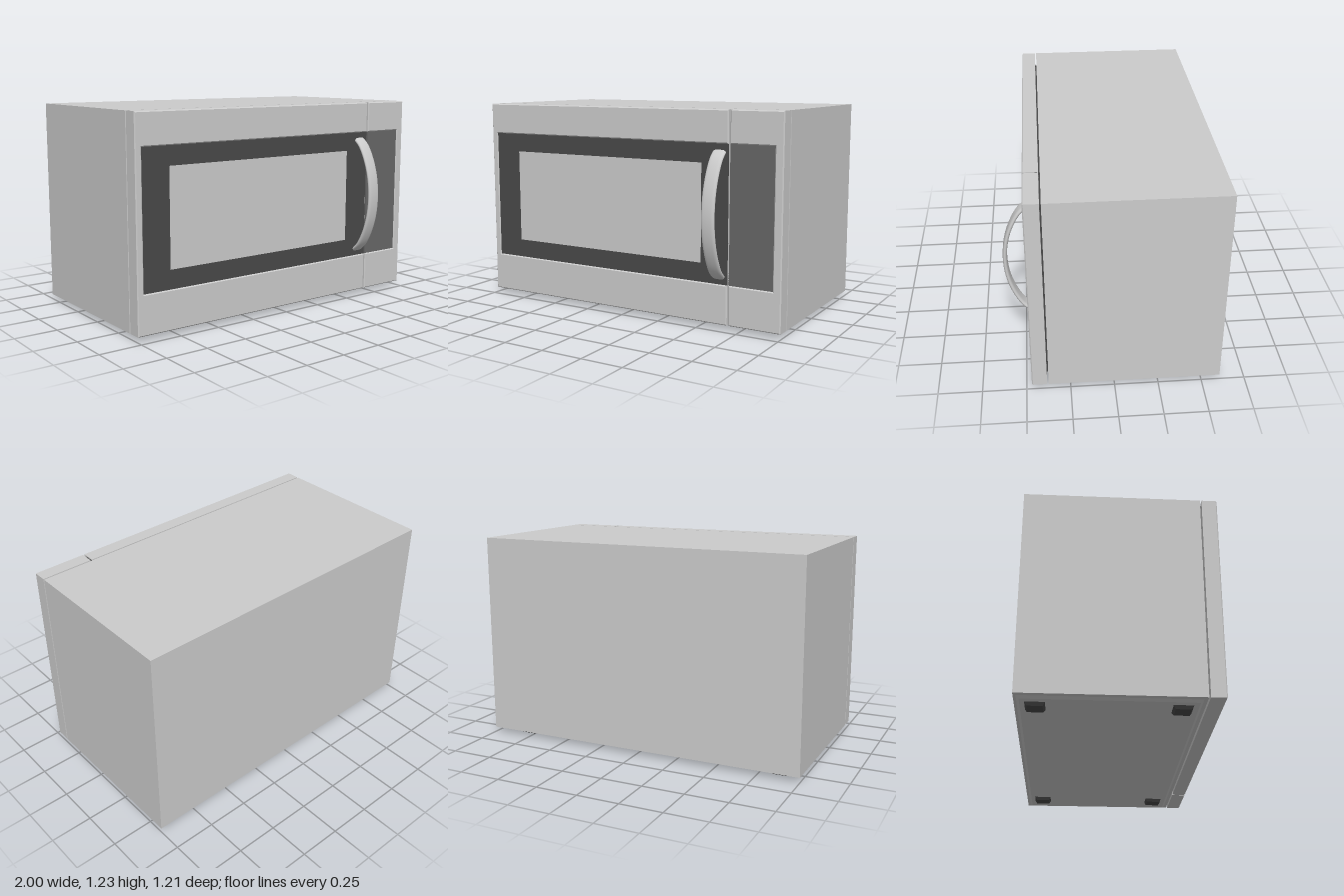
import * as THREE from 'three';

const grey = new THREE.MeshStandardMaterial({ color: 0xcccccc });
const dark = new THREE.MeshStandardMaterial({ color: 0x494949 });
const smoky = new THREE.MeshStandardMaterial({ color: 0x676767 });

const BOTTOM = 0.03, TOP = 1.23;       // cabinet height range
const PANE_LOW = 0.26, PANE_HIGH = 1.045; // glass band height range
const GLASS_Z = 0.464, FRONT_Z = 0.47;

export function createModel() {
  const group = new THREE.Group();

  function add(name, geometry, material) {
    const mesh = new THREE.Mesh(geometry, material);
    mesh.name = name;
    group.add(mesh);
    return mesh;
  }

  // Box given by its limits on each axis
  function box(name, [x0, x1], [y0, y1], [z0, z1], material = grey) {
    const geometry = new THREE.BoxGeometry(x1 - x0, y1 - y0, z1 - z0);
    geometry.translate((x0 + x1) / 2, (y0 + y1) / 2, (z0 + z1) / 2);
    return add(name, geometry, material);
  }

  // Box whose lower face is drawn in by an inset
  function taperedBox(name, [x0, x1], [y0, y1], [z0, z1], inset, material) {
    const w = x1 - x0, h = y1 - y0, d = z1 - z0;
    let geometry = new THREE.BoxGeometry(w, h, d);
    const p = geometry.attributes.position;
    for (let i = 0; i < p.count; i++) {
      if (p.getY(i) < 0) {
        p.setX(i, p.getX(i) - Math.sign(p.getX(i)) * inset);
        p.setZ(i, p.getZ(i) - Math.sign(p.getZ(i)) * inset);
      }
    }
    geometry.computeVertexNormals();
    geometry.translate((x0 + x1) / 2, (y0 + y1) / 2, (z0 + z1) / 2);
    return add(name, geometry, material);
  }

  function polygon(points) {
    return new THREE.Shape(points.map(([x, y]) => new THREE.Vector2(x, y)));
  }

  // Chamfered C-shaped facing: open towards the seam, closed at the outer side
  function facing(name, seam, outer, paneEdge) {
    const shape = polygon([
      [seam, BOTTOM], [outer, BOTTOM], [outer, TOP], [seam, TOP],
      [seam, PANE_HIGH], [paneEdge, PANE_HIGH], [paneEdge, PANE_LOW], [seam, PANE_LOW],
    ]);
    const bevel = 0.006;
    const geometry = new THREE.ExtrudeGeometry(shape, {
      depth: 0.018, bevelEnabled: true, bevelSegments: 1,
      bevelSize: bevel, bevelThickness: bevel, bevelOffset: -bevel,
    });
    geometry.translate(0, 0, FRONT_Z - 0.018 - bevel);
    add(name, geometry, grey);
  }

  // Cabinet and the recessed core joining it to the front
  box('cabinet', [-1, 1], [BOTTOM, TOP], [-0.605, 0.375]);
  box('frontJoint', [-0.9, 0.95], [0.08, 1.18], [0.37, 0.39], dark);

  // Door and control column, split by a narrow seam
  box('doorBody', [-1, 0.677], [BOTTOM, TOP], [0.384, 0.46]);
  facing('doorFacing', 0.677, -1, -0.96);
  box('controlBody', [0.687, 1], [BOTTOM, TOP], [0.384, 0.46]);
  facing('controlFacing', 0.687, 1, 0.95);
  box('seamFiller', [0.675, 0.689], [BOTTOM + 0.005, TOP - 0.005], [0.386, 0.44], dark);

  // Dark glass border around the window
  const border = polygon([
    [-0.96, PANE_LOW], [0.677, PANE_LOW], [0.677, PANE_HIGH], [-0.96, PANE_HIGH],
  ]);
  border.holes.push(polygon([[-0.79, 0.37], [-0.79, 0.935], [0.51, 0.935], [0.51, 0.37]]));
  const borderGeometry = new THREE.ExtrudeGeometry(border, { depth: 0.014, bevelEnabled: false });
  borderGeometry.translate(0, 0, GLASS_Z - 0.014);
  add('windowBorder', borderGeometry, dark);
  box('window', [-0.79, 0.51], [0.37, 0.935], [0.45, GLASS_Z]);
  box('controlPanel', [0.687, 0.95], [PANE_LOW, PANE_HIGH], [0.45, GLASS_Z], smoky);

  // Bowed handle: a tube widened sideways into a rounded bar
  const half = [[0.295, 0.452], [0.335, 0.497], [0.41, 0.541], [0.52, 0.578]];
  const path = [...half, [0.65, 0.592], ...half.slice().reverse().map(([y, z]) => [1.3 - y, z])];
  const curve = new THREE.CatmullRomCurve3(path.map(([y, z]) => new THREE.Vector3(0, y, z)));
  const radius = 0.0125;
  const handle = new THREE.TubeGeometry(curve, 48, radius, 20);
  const pos = handle.attributes.position;
  for (let i = 0; i < pos.count; i++) {
    const s = pos.getX(i) / radius;
    pos.setX(i, 0.62 + 0.04 * Math.sign(s) * Math.pow(Math.min(1, Math.abs(s)), 0.5));
  }
  handle.computeVertexNormals();
  add('handle', handle, grey);

  // Base plate and feet
  taperedBox('basePlate', [-0.97, 0.97], [0.018, BOTTOM], [-0.59, 0.355], 0.015, grey);
  for (const x of [-0.865, 0.795]) {
    for (const z of [-0.497, 0.258]) {
      taperedBox('foot', [x - 0.055, x + 0.055], [0, 0.019], [z - 0.053, z + 0.053], 0.012, dark);
    }
  }
  return group;
}
